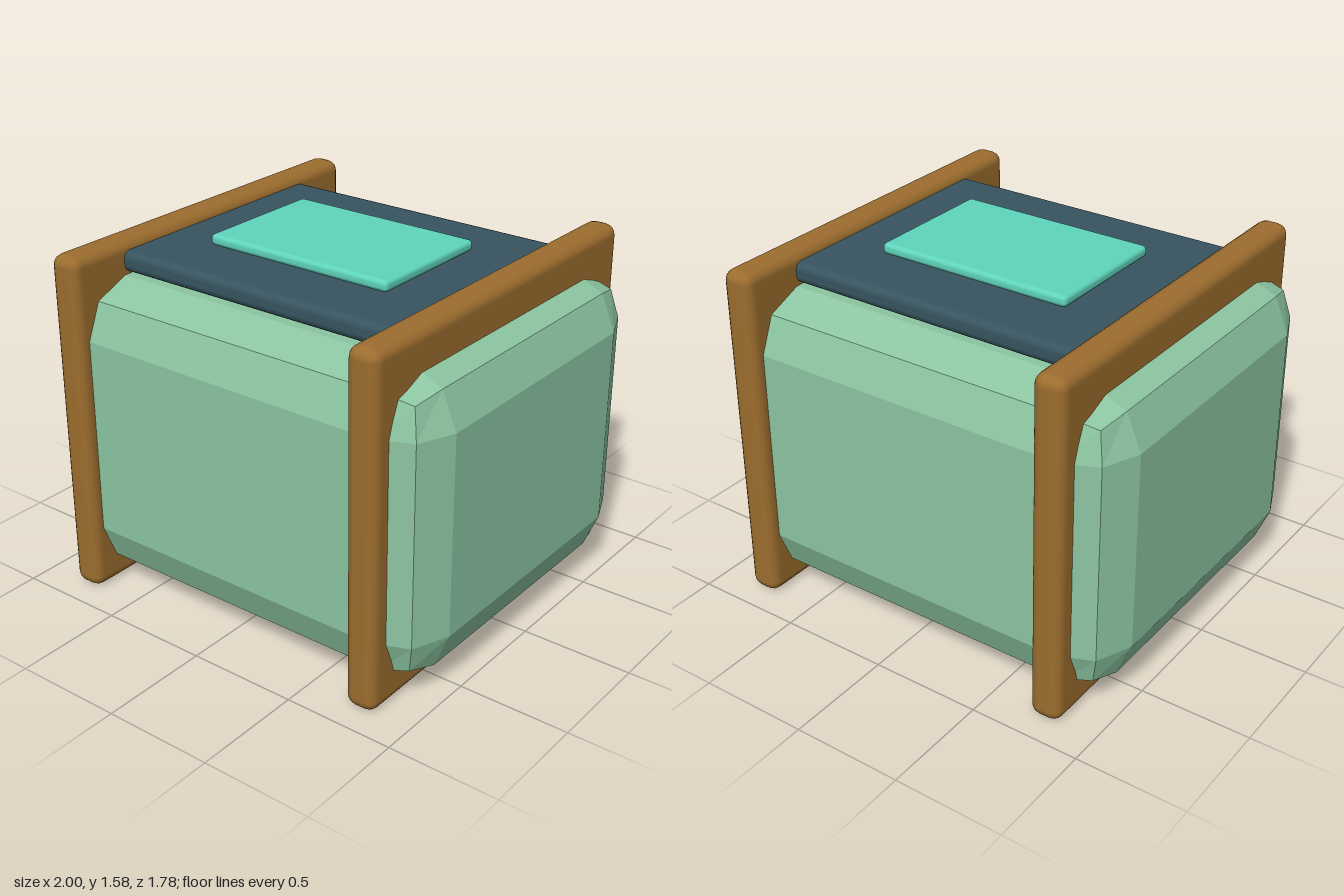
import * as THREE from 'three';
import { RoundedBoxGeometry } from 'three/addons/geometries/RoundedBoxGeometry.js';

function material(name, color, flatShading = false) {
  const m = new THREE.MeshStandardMaterial({ color, flatShading });
  m.name = name;
  return m;
}

export function createModel() {
  const group = new THREE.Group();
  group.name = 'crate';

  const green = material('sage green', 0x8cc5a1, true);
  const bronze = material('bronze', 0x9c6d2e);
  const slate = material('dark slate', 0x37545f);
  const teal = material('bright teal', 0x5fd5bb);

  // Rounded block placed by its centre x and the height of its underside
  function block(name, [w, h, d], segments, radius, mat, x, bottom) {
    const mesh = new THREE.Mesh(new RoundedBoxGeometry(w, h, d, segments, radius), mat);
    mesh.name = name;
    mesh.position.set(x, bottom + h / 2, 0);
    group.add(mesh);
  }

  // Chamfered body
  block('body', [2, 1.36, 1.66], 1, 0.23, green, 0, 0.065);

  // Solid frame plates that the body passes through
  for (const side of [-1, 1]) {
    block(side > 0 ? 'leftFrame' : 'rightFrame',
      [0.145, 1.572, 1.78], 2, 0.05, bronze, side * 0.765, 0);
  }

  // Lid between the frames, floating just above the body, with its raised panel
  block('lid', [1.44, 0.095, 1.2], 2, 0.035, slate, 0, 1.436);
  block('lidPanel', [0.925, 0.05, 0.625], 2, 0.02, teal, 0, 1.528);

  return group;
}
